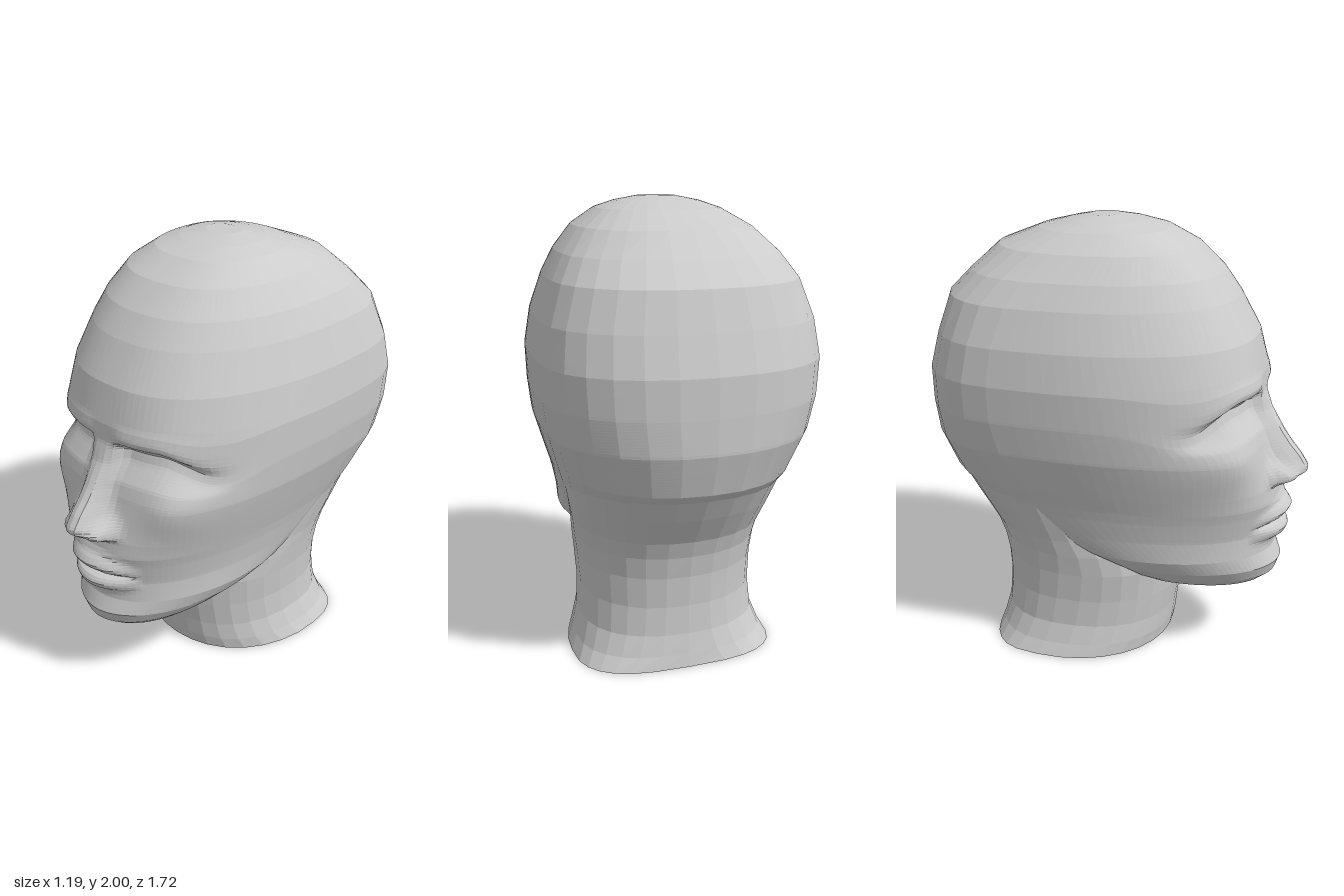
import * as THREE from 'three';

// Linear lookup in rows sorted by their first entry; returns the remaining entries.
function lookup(rows, y) {
  if (y <= rows[0][0]) return rows[0].slice(1);
  for (let i = 1; i < rows.length; i++) {
    const a = rows[i - 1], b = rows[i];
    if (y <= b[0]) {
      const t = (y - a[0]) / (b[0] - a[0]);
      return a.slice(1).map((v, k) => v + (b[k + 1] - v) * t);
    }
  }
  return rows[rows.length - 1].slice(1);
}
const bell = (d, s) => Math.exp(-(d / s) * (d / s));
const step = THREE.MathUtils.smoothstep;

// Rings as [y, half width, front z, back z, z of widest point, front and back squareness]
const HEAD = [
  [0.345, 0.12, 0.52, 0.20, 0.32, 2.2, 2.2],
  [0.36, 0.19, 0.63, 0.15, 0.32, 2.1, 2.2],
  [0.385, 0.25, 0.70, 0.10, 0.28, 2, 2.2],
  [0.42, 0.295, 0.74, 0.05, 0.23, 2, 2.2],
  [0.48, 0.355, 0.76, -0.03, 0.17, 2, 2.2],
  [0.55, 0.405, 0.73, -0.25, 0.08, 2.05, 2.2],
  [0.65, 0.432, 0.725, -0.55, -0.08, 2.15, 2.2],
  [0.75, 0.46, 0.74, -0.66, -0.20, 2.3, 2.2],
  [0.80, 0.475, 0.75, -0.73, -0.24, 2.35, 2.2],
  [0.87, 0.50, 0.74, -0.80, -0.28, 2.4, 2.2],
  [1.05, 0.56, 0.69, -0.855, -0.37, 2.6, 2.2],
  [1.20, 0.585, 0.66, -0.857, -0.40, 2.6, 2.25],
  [1.36, 0.595, 0.645, -0.855, -0.40, 2.55, 2.25],
  [1.52, 0.575, 0.605, -0.81, -0.38, 2.4, 2.25],
  [1.68, 0.52, 0.515, -0.76, -0.34, 2.35, 2.25],
  [1.78, 0.46, 0.44, -0.66, -0.28, 2.4, 2.25],
  [1.88, 0.37, 0.33, -0.55, -0.18, 2.5, 2.25],
  [1.95, 0.265, 0.20, -0.37, -0.12, 2.5, 2.2],
  [1.98, 0.18, 0.09, -0.25, -0.10, 2.4, 2.2],
  [2.00, 0.08, -0.02, -0.15, -0.09, 2.2, 2.2],
];
const NECK = [
  [0.00, 0.46, 0.24, -0.585, -0.28, 2.1, 2.9],
  [0.06, 0.43, 0.25, -0.575, -0.25, 2.2, 2.5],
  [0.15, 0.40, 0.26, -0.56, -0.22, 2.2, 2.3],
  [0.28, 0.392, 0.28, -0.555, -0.20, 2.2, 2.2],
  [0.42, 0.40, 0.29, -0.565, -0.18, 2.2, 2.2],
  [0.52, 0.413, 0.27, -0.585, -0.18, 2.1, 2.2],
  [0.60, 0.425, 0.22, -0.615, -0.20, 2, 2.2],
  [0.73, 0.455, 0.12, -0.70, -0.24, 2, 2.2],
  [0.87, 0.488, 0.00, -0.785, -0.28, 2, 2.2],
];

// Centre-line relief: [y, height] and for the nose also [.., half width]
const NOSE = [
  [0.86, 0, 0.10], [0.88, 0.035, 0.095], [0.90, 0.095, 0.085], [0.925, 0.135, 0.08],
  [0.95, 0.142, 0.075], [1.0, 0.124, 0.068], [1.05, 0.095, 0.064], [1.1, 0.068, 0.06],
  [1.2, 0.024, 0.055], [1.28, 0, 0.06],
];
const LIPS = [
  [-0.13, 0], [-0.1, 0.01], [-0.075, 0.048], [-0.05, 0.062], [-0.025, 0.05], [0, -0.008],
  [0.02, 0.044], [0.05, 0.06], [0.075, 0.04], [0.1, 0.01], [0.13, 0],
];
const SOCKET = [
  [1.07, 0], [1.13, -0.006], [1.18, -0.03], [1.22, -0.05], [1.265, -0.056],
  [1.3, 0], [1.325, 0.008], [1.38, 0],
];

// Depth added to the front surface, and the droop of the rows along the outer brow
function faceRelief(x, y) {
  const ax = Math.abs(x);
  const [h, nw] = lookup(NOSE, y);
  let d = h * Math.exp(-((ax / nw) ** 2.8));
  d += 0.06 * step(y, 0.862, 0.9) * bell(ax - 0.095, 0.036) * bell(y - 0.915, 0.05);
  // Cheekbones
  d += 0.055 * bell(ax - 0.38, 0.13) * bell(y - 1.04, 0.16);
  d += lookup(SOCKET, y)[0] * step(ax, 0.04, 0.11) * (1 - step(ax, 0.34, 0.5));
  const taper = Math.max(0, 1 - (ax / 0.205) ** 2);
  d += lookup(LIPS, (y - 0.695 + 0.4 * ax * ax) / (0.62 + 0.38 * taper))[0] * taper;
  const droop = 0.08 * step(ax, 0.25, 0.44) * (1 - step(ax, 0.46, 0.57)) * bell(y - 1.25, 0.11);
  return [d, -droop];
}

// Skin rings of front and back half superellipses into a closed, capped surface
function loft(rows, ys, frontSteps, backSteps, relief) {
  const columns = [];
  for (let j = -frontSteps; j < frontSteps; j++) {
    columns.push({ front: true, t: (j / frontSteps) * Math.PI / 2 });
  }
  for (let j = 0; j < 2 * backSteps; j++) {
    columns.push({ front: false, t: (j / backSteps + 1) * Math.PI / 2 });
  }
  const pos = [], index = [], n = columns.length;
  for (const y of ys) {
    const [w, zf, zb, zc, pf, pb] = lookup(rows, y);
    for (const { front, t } of columns) {
      const s = Math.sin(t), c = Math.abs(Math.cos(t));
      if (front) {
        const x = w * s;
        const z = zc + (zf - zc) * Math.pow(Math.max(0, 1 - Math.abs(s) ** pf), 1 / pf);
        const [dz, dy] = relief(x, y);
        // Relief fades out toward the sides of the head
        const fade = step(c, 0.1, 0.5);
        pos.push(x, y + dy * fade, z + dz * fade);
      } else {
        pos.push(w * Math.sign(s) * Math.abs(s) ** (2 / pb), y, zc + (zb - zc) * c ** (2 / pb));
      }
    }
  }
  const last = (ys.length - 1) * n, lo = ys.length * n, hi = lo + 1;
  for (const y of [ys[0], ys[ys.length - 1]]) {
    const [, zf, zb] = lookup(rows, y);
    pos.push(0, y, (zf + zb) / 2);
  }
  for (let j = 0; j < n; j++) {
    const k = (j + 1) % n;
    for (let i = 0; i < last; i += n) {
      index.push(i + j, i + k, i + n + k, i + j, i + n + k, i + n + j);
    }
    index.push(lo, k, j, hi, last + j, last + k);
  }
  const g = new THREE.BufferGeometry();
  g.setAttribute('position', new THREE.Float32BufferAttribute(pos, 3));
  g.setIndex(index);
  g.computeVertexNormals();
  return g;
}

export function createModel() {
  const group = new THREE.Group();
  group.name = 'mannequinHead';
  const material = new THREE.MeshStandardMaterial({ color: 0xcccccc, flatShading: true });
  const add = (name, geometry) => {
    const mesh = new THREE.Mesh(geometry, material);
    mesh.name = name;
    group.add(mesh);
  };

  // Head: broad facets on the skull, fine rows through the face
  const ys = HEAD.map((r) => r[0]).filter((y) => y < 0.56 || y > 1.4);
  for (let y = 0.56; y < 1.4; y += 0.0125) ys.push(y);
  ys.sort((a, b) => a - b);
  add('head', loft(HEAD, ys, 32, 7, faceRelief));

  // Neck: flares at the flat base and merges into the back of the skull
  add('neck', loft(NECK, NECK.map((r) => r[0]), 8, 7, () => [0, 0]));
  return group;
}
